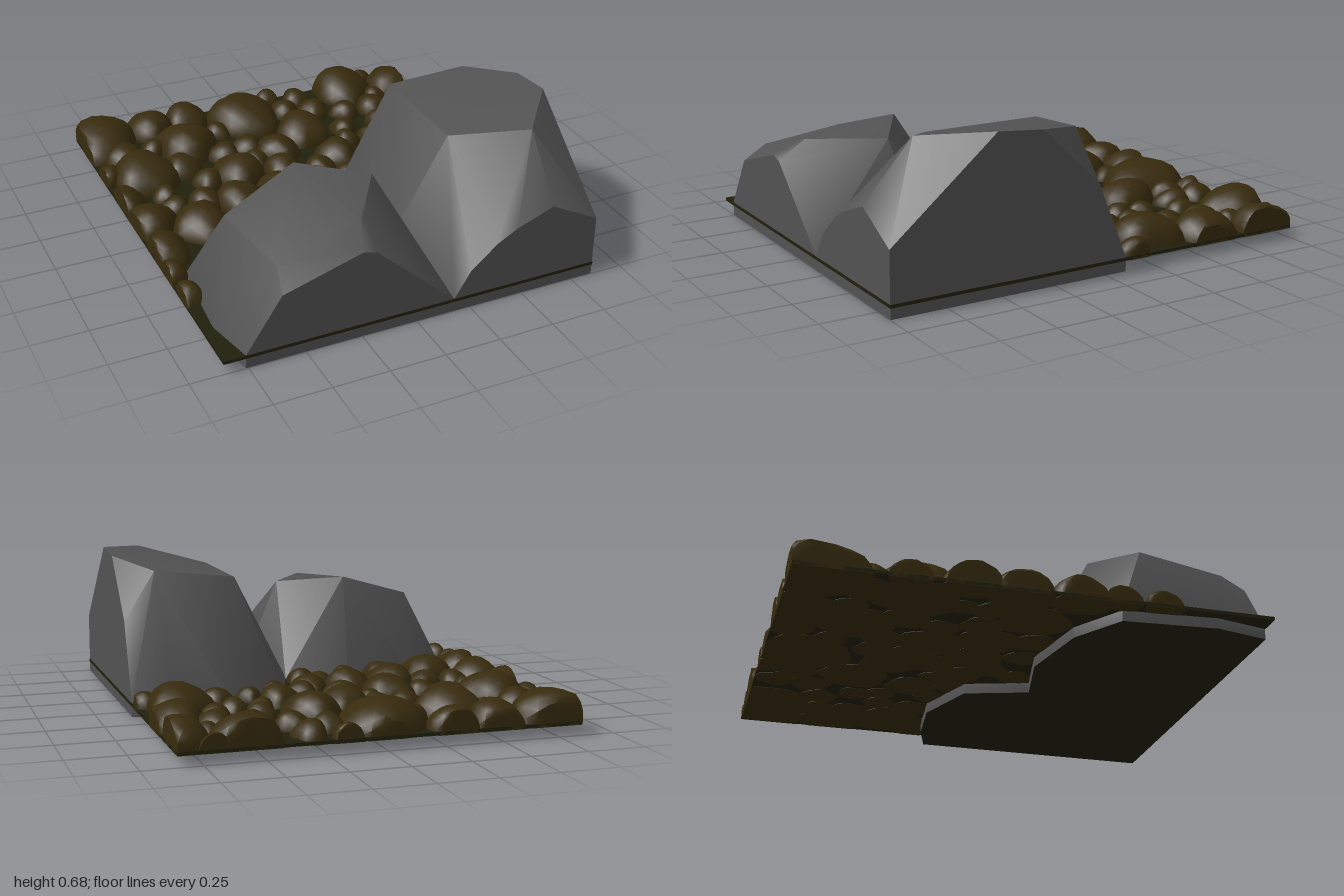
import * as THREE from 'three';
import { toCreasedNormals, mergeVertices } from 'three/addons/utils/BufferGeometryUtils.js';
import { ConvexGeometry } from 'three/addons/geometries/ConvexGeometry.js';

const HALF_X = 0.855, HALF_Z = 1, GROUND = 0.045;

// Faceted boulder: hull of a footprint (extruded up to the soil) and its upper corners.
// Group 0 is the rock surface, group 1 the underside.
function boulderGeometry(footprint, corners) {
  const points = [];
  const add = (x, y, z) => points.push(new THREE.Vector3(Math.min(x, 0.853), y, Math.min(z, 0.998)));
  for (const [x, z] of footprint) { add(x, 0, z); add(x, 0.06, z); }
  for (const [x, y, z] of corners) add(x, y, z);
  const p = new ConvexGeometry(points).attributes.position;
  const surface = [], underside = [];
  for (let i = 0; i < p.count; i += 3) {
    const buried = Math.max(p.getY(i), p.getY(i + 1), p.getY(i + 2)) < 0.001;
    const target = buried ? underside : surface;
    for (let k = i; k < i + 3; k++) target.push(p.getX(k), p.getY(k), p.getZ(k));
  }
  const g = new THREE.BufferGeometry();
  g.setAttribute('position', new THREE.Float32BufferAttribute([...surface, ...underside], 3));
  g.addGroup(0, surface.length / 3, 0);
  g.addGroup(surface.length / 3, underside.length / 3, 1);
  return toCreasedNormals(g, 0.6);
}

// Rounded lumpy stone with a flat base, trimmed at the tile's edges
function stoneGeometry([x, z, r], seed) {
  let g = new THREE.IcosahedronGeometry(1, 3);
  g.deleteAttribute('normal');
  g.deleteAttribute('uv');
  g = mergeVertices(g, 1e-4);
  const p = g.attributes.position;
  const h = Math.min(0.035 + 0.7 * r, 0.14);
  const v = new THREE.Vector3();
  for (let i = 0; i < p.count; i++) {
    v.fromBufferAttribute(p, i);
    const a = Math.atan2(v.z, v.x);
    const lump = 1 + 0.06 * Math.sin(3 * a + seed * 2.1) + 0.04 * Math.sin(5 * a + seed * 1.3);
    const tilt = 1 + 0.18 * (v.x * Math.cos(seed * 1.7) + v.z * Math.sin(seed * 1.7));
    p.setXYZ(i,
      THREE.MathUtils.clamp(x + v.x * r * lump, -HALF_X, HALF_X),
      GROUND + Math.max(v.y, 0) * h * tilt,
      THREE.MathUtils.clamp(z + v.z * r * 1.18 * lump, -HALF_Z, HALF_Z));
  }
  return toCreasedNormals(g, 0.7);
}

// Fills the gaps between the placed stones with smaller, overlapping ones
function scatterStones(placed) {
  const stones = [...placed];
  let state = 7;
  const random = () => (state = (state * 16807) % 2147483647) / 2147483647;
  for (let i = 0; i < 900; i++) {
    const x = (random() * 2 - 1) * 0.84, z = random() * 1.15 - 0.99, r = 0.06 + random() * 0.04;
    const underBoulder = x > 0.08 && z > -0.1;
    const crowded = stones.some(([sx, sz, sr]) => Math.hypot(x - sx, (z - sz) / 1.18) < 0.74 * (r + sr));
    if (!underBoulder && !crowded) stones.push([x, z, r]);
  }
  return stones;
}

export function createModel() {
  const model = new THREE.Group();
  const material = (name, color) => {
    const m = new THREE.MeshStandardMaterial({ color });
    m.name = name;
    return m;
  };
  const rock = material('grey rock', 0x525252);
  const soil = material('dark soil', 0x20200d);
  const pebble = material('brown stone', 0x372b0e);

  const add = (name, geometry, mat, parent = model) => {
    const mesh = new THREE.Mesh(geometry, mat);
    mesh.name = name;
    parent.add(mesh);
    return mesh;
  };

  // Thin slab of soil
  add('soil', new THREE.BoxGeometry(HALF_X * 2, 0.014, HALF_Z * 2), soil).position.y = 0.054;

  // Tall boulder, cut by the front and left edges of the tile
  add('tallBoulder', boulderGeometry(
    [[0.175, 1], [0.05, 0.6], [0.05, 0.25], [0.15, -0.07], [0.43, -0.18], [0.69, -0.15], [0.855, -0.1], [0.855, 1]],
    [
      [0.355, 0.58, 0.03], [0.71, 0.615, 0.065], [0.855, 0.66, 0.31],
      [0.855, 0.678, 0.52], [0.64, 0.65, 0.78], [0.355, 0.58, 0.57],
      [0.855, 0.4, 0.04], [0.13, 0.2, 0.57],
      [0.25, 0.18, 1], [0.37, 0.28, 1], [0.46, 0.33, 1], [0.63, 0.395, 1], [0.855, 0.28, 1],
    ]), [rock, soil]);

  // Low boulder, cut by the front edge
  add('lowBoulder', boulderGeometry(
    [[-0.76, 1], [-0.81, 0.77], [-0.78, 0.36], [-0.57, 0.22], [-0.23, 0.15], [0.06, 0.21], [0.2, 0.5], [0.175, 1]],
    [
      [-0.645, 0.4, 0.5], [-0.285, 0.508, 0.39], [0, 0.475, 0.565],
      [-0.2, 0.47, 0.87], [-0.58, 0.37, 0.9],
      [-0.6, 0.3, 1], [-0.25, 0.405, 1], [-0.19, 0.39, 1],
    ]), [rock, soil]);

  // Main stones: x, z, radius
  const placed = [
    [-0.39, -0.68, 0.15], [-0.02, -0.83, 0.18], [0.18, -0.57, 0.13], [-0.26, -0.32, 0.125],
    [0, -0.45, 0.11], [-0.67, -0.47, 0.16], [-0.77, -0.88, 0.18], [0.69, -0.32, 0.15],
    [0.77, -0.58, 0.13], [0.56, -0.91, 0.15], [0.24, -0.3, 0.1], [0.82, -0.87, 0.13],
    [-0.34, -0.08, 0.12], [-0.58, 0.05, 0.13], [-0.15, -0.1, 0.11], [-0.78, -0.07, 0.12],
    [-0.8, 0.18, 0.11], [-0.83, 0.53, 0.07], [-0.5, -0.92, 0.12], [-0.84, -0.28, 0.11],
    [-0.3, -0.94, 0.11], [0.32, -0.75, 0.08], [0.47, -0.69, 0.075], [0.3, -0.91, 0.075],
    [-0.05, -0.27, 0.09], [-0.13, -0.54, 0.08], [0.05, -0.12, 0.09], [0.12, -0.2, 0.08],
    [-0.37, 0.11, 0.085], [-0.2, 0.1, 0.07], [0.48, -0.4, 0.065], [-0.7, -0.66, 0.1],
    [-0.84, 0.35, 0.07], [0.19, -0.82, 0.075],
  ];
  const stones = new THREE.Group();
  stones.name = 'stones';
  model.add(stones);
  scatterStones(placed).forEach((stone, i) => add('stone', stoneGeometry(stone, i + 1), pebble, stones));

  return model;
}
